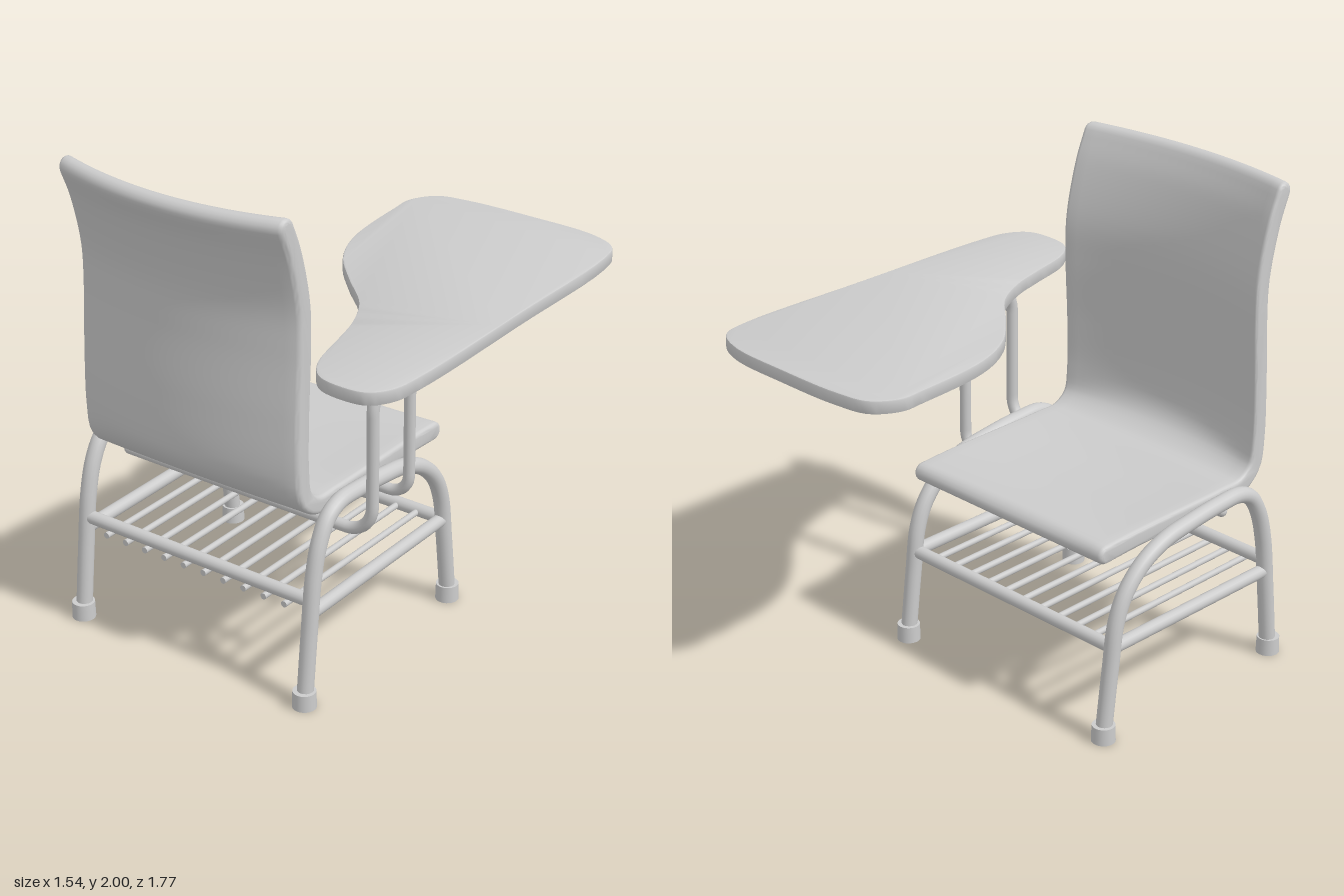
import * as THREE from 'three';
import { toCreasedNormals } from 'three/addons/utils/BufferGeometryUtils.js';

const mat = new THREE.MeshStandardMaterial({ color: 0xcccccc });
const V = (x, y, z) => new THREE.Vector3(x, y, z);
const CX = -0.1715;      // centre line of the chair itself
const HALF = 0.514;      // half width of the seat shell
const LEG_X = [-0.722, 0.38];

function add(parent, name, geometry) {
  const mesh = new THREE.Mesh(geometry, mat);
  mesh.name = name;
  parent.add(mesh);
  return mesh;
}

// straight rod between two points
function rod(parent, name, a, b, r) {
  const mesh = add(parent, name, new THREE.CylinderGeometry(r, r, a.distanceTo(b), 16));
  mesh.position.copy(a).lerp(b, 0.5);
  mesh.quaternion.setFromUnitVectors(V(0, 1, 0), b.clone().sub(a).normalize());
}

// polyline with rounded corners; each corner is [point, radius]
function roundedPath(start, corners, end) {
  const path = new THREE.CurvePath();
  let last = start;
  corners.forEach(([p, r], i) => {
    const next = i + 1 < corners.length ? corners[i + 1][0] : end;
    const a = p.clone().add(last.clone().sub(p).setLength(r));
    const b = p.clone().add(next.clone().sub(p).setLength(r));
    const k = 0.55;
    path.add(new THREE.LineCurve3(last, a));
    path.add(new THREE.CubicBezierCurve3(a, a.clone().lerp(p, k), b.clone().lerp(p, k), b));
    last = b;
  });
  path.add(new THREE.LineCurve3(last, end));
  return path;
}

// bent tube with rounded ends
function tube(parent, name, curve, r, segments = 100) {
  const group = new THREE.Group();
  group.name = name;
  add(group, name + 'Pipe', new THREE.TubeGeometry(curve, segments, r, 16));
  for (const t of [0, 1]) {
    add(group, name + 'End', new THREE.SphereGeometry(r, 16, 10)).position.copy(curve.getPoint(t));
  }
  parent.add(group);
}

// one-piece seat and back: thick side profile drawn across the width, then dished
function seatShell() {
  const mid = new THREE.CatmullRomCurve3([
    [0.775, 1.965], [0.728, 1.85], [0.677, 1.63], [0.674, 1.45], [0.688, 1.18], [0.69, 0.96],
    [0.672, 0.845], [0.6, 0.787], [0.48, 0.78], [0.25, 0.778], [0, 0.776], [-0.172, 0.768],
  ].map(([z, y]) => V(z, y, 0)), false, 'centripetal');
  const N = 70, h = 0.038, one = [], two = [];
  for (let i = 0; i <= N; i++) {
    const p = mid.getPointAt(i / N), t = mid.getTangentAt(i / N);
    one.push(new THREE.Vector2(p.x - t.y * h, p.y + t.x * h));
    two.push(new THREE.Vector2(p.x + t.y * h, p.y - t.x * h));
  }
  // half-round edge at either end of the profile
  const cap = (u, sign) => {
    const p = mid.getPointAt(u), t = mid.getTangentAt(u), pts = [];
    for (let i = 1; i < 8; i++) {
      const a = i / 8 * Math.PI, c = Math.cos(a) * h * sign, s = Math.sin(a) * h * sign;
      pts.push(new THREE.Vector2(p.x - t.y * c + t.x * s, p.y + t.x * c + t.y * s));
    }
    return pts;
  };
  const shape = new THREE.Shape([...one, ...cap(1, 1), ...two.reverse(), ...cap(0, -1)]);
  const bevel = 0.018;
  const geo = new THREE.ExtrudeGeometry(shape, {
    depth: 2 * (HALF - bevel), steps: 24, bevelEnabled: true,
    bevelThickness: bevel, bevelSize: bevel, bevelOffset: -bevel, bevelSegments: 4,
  });
  geo.translate(0, 0, bevel - HALF).rotateY(-Math.PI / 2);
  const pos = geo.attributes.position;
  for (let i = 0; i < pos.count; i++) {
    const x = pos.getX(i), y = pos.getY(i), z = pos.getZ(i);
    const w = 1 - (x / HALF) ** 2;
    const back = THREE.MathUtils.smoothstep(y, 0.74, 0.95);
    const seat = THREE.MathUtils.smoothstep(z, -0.2, 0.1) * (1 - THREE.MathUtils.smoothstep(z, 0.3, 0.6));
    pos.setXYZ(i, x + CX,
      y - 0.02 * w * seat - 0.008 * w * THREE.MathUtils.smoothstep(y, 1.85, 2),
      z + 0.075 * w * back);
  }
  return toCreasedNormals(geo, 0.7);
}

// writing board with a sweeping inner edge
function boardGeometry() {
  const outline = new THREE.CatmullRomCurve3([
    [-0.185, -0.63], [-0.185, -0.74], [-0.115, -0.84], [0.025, -0.873], [0.3, -0.883], [0.61, -0.87],
    [0.73, -0.81], [0.763, -0.69], [0.765, -0.1], [0.763, 0.54], [0.742, 0.7], [0.68, 0.78],
    [0.575, 0.797], [0.47, 0.775], [0.4, 0.69], [0.345, 0.49], [0.305, 0.345], [0.225, 0.19],
    [0.07, 0.04], [-0.07, -0.115], [-0.15, -0.3],
  ].map(([x, z]) => V(x, -z, 0)), true, 'centripetal');
  const b = 0.006;
  const geo = new THREE.ExtrudeGeometry(new THREE.Shape(outline.getPoints(120).slice(0, -1).map(p => new THREE.Vector2(p.x, p.y))), {
    depth: 0.055 - 2 * b, bevelEnabled: true, bevelThickness: b, bevelSize: b, bevelOffset: -b, bevelSegments: 2,
  });
  geo.rotateX(-Math.PI / 2).translate(0, 1.38 + b, 0);
  return toCreasedNormals(geo, 0.6);
}

export function createModel() {
  const model = new THREE.Group();
  model.name = 'tabletArmChair';

  add(model, 'seatShell', seatShell());
  add(model, 'writingBoard', boardGeometry());

  // arched leg frames, feet and side rails
  for (const x of LEG_X) {
    const arch = new THREE.CatmullRomCurve3([
      [0.75, 0.04], [0.722, 0.3], [0.692, 0.54], [0.655, 0.67], [0.6, 0.755], [0.53, 0.788], [0.42, 0.788],
      [0.25, 0.772], [0.1, 0.747], [-0.02, 0.69], [-0.11, 0.6], [-0.158, 0.49], [-0.185, 0.3], [-0.216, 0.04],
    ].map(([z, y]) => V(x, y, z)), false, 'centripetal');
    tube(model, 'legFrame', arch, 0.033);
    for (const z of [0.754, -0.217]) {
      add(model, 'foot', new THREE.CylinderGeometry(0.046, 0.048, 0.07, 24)).position.set(x, 0.035, z);
    }
    rod(model, 'sideRail', V(x, 0.39, 0.705), V(x, 0.39, -0.17), 0.027);
  }

  // book rack under the seat
  rod(model, 'rearCrossbar', V(LEG_X[0], 0.44, 0.706), V(LEG_X[1], 0.44, 0.706), 0.027);
  rod(model, 'frontCrossbar', V(LEG_X[0], 0.39, -0.172), V(LEG_X[1], 0.39, -0.172), 0.027);
  for (let i = 0; i < 10; i++) {
    const x = -0.605 + i * 0.097;
    rod(model, 'rackRod', V(x, 0.398, 0.73), V(x, 0.39, -0.17), 0.013);
  }

  // board supports, running under the seat and up the side
  tube(model, 'mainSupport', roundedPath(V(-0.64, 0.69, 0.527), [
    [V(0.53, 0.69, 0.527), 0.12],
    [V(0.53, 1.345, 0.527), 0.15],
    [V(0.53, 1.355, -0.59), 0.14],
  ], V(0.22, 1.355, -0.59)), 0.024, 160);
  tube(model, 'secondSupport', roundedPath(V(-0.64, 0.69, 0.197), [
    [V(0.467, 0.69, 0.197), 0.09],
  ], V(0.467, 1.36, 0.197)), 0.023);
  rod(model, 'diagonalBrace', V(0.467, 1.14, 0.197), V(0.49, 1.375, -0.035), 0.018);

  return model;
}
